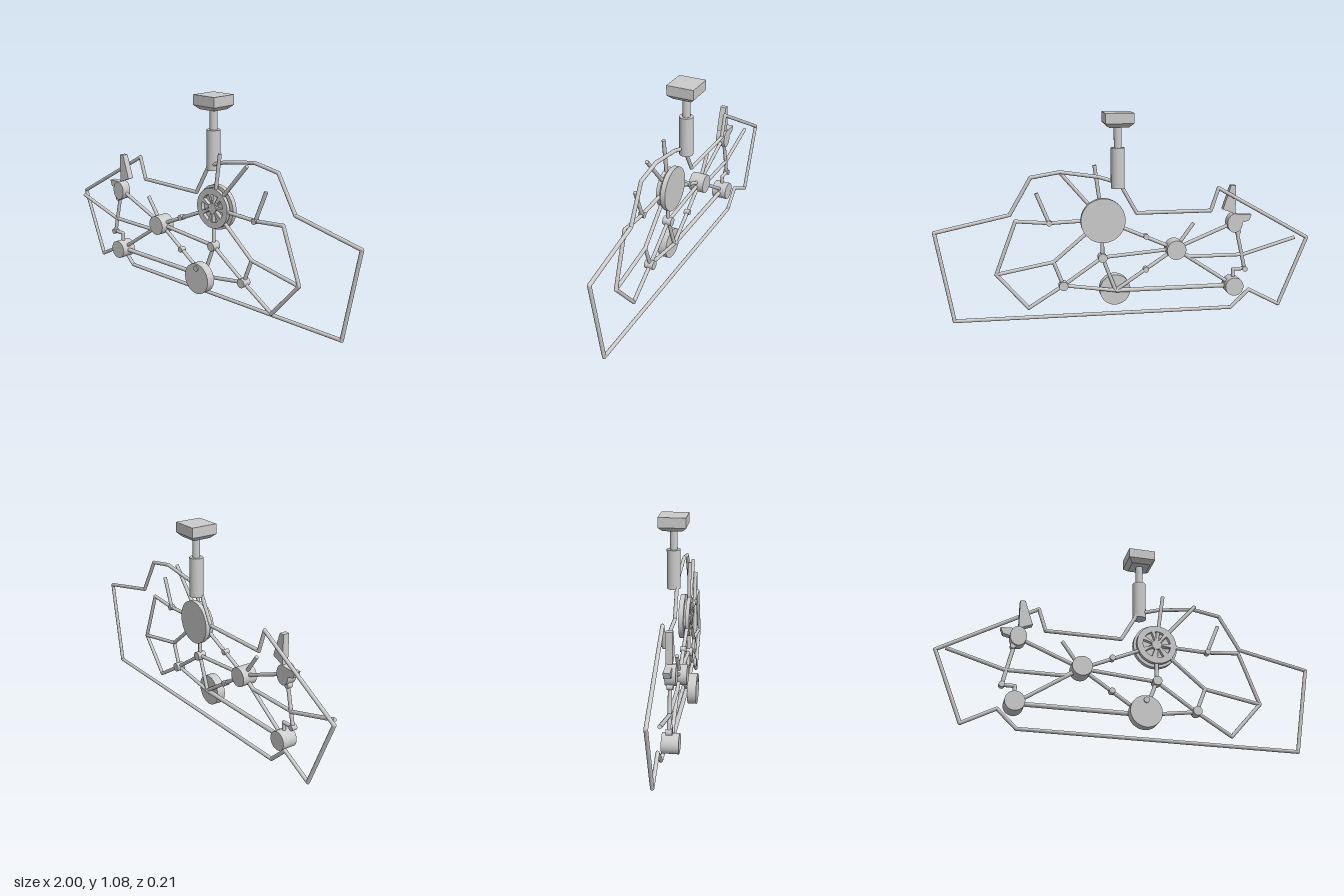
import * as THREE from 'three';

const material = new THREE.MeshStandardMaterial({ color: 0xcccccc });
const ROD_Z = 0.042;
const FRAME_Z = -0.01;

export function createModel() {
  const model = new THREE.Group();

  const add = (name, geometry, parent = model) => {
    const mesh = new THREE.Mesh(geometry, material);
    mesh.name = name;
    parent.add(mesh);
    return mesh;
  };

  // Round bars along a list of [x, y] points, with rounded corners
  const bar = (name, points, z, radius, closed = false) => {
    const group = new THREE.Group();
    group.name = name;
    const pts = points.map(([x, y]) => new THREE.Vector3(x, y, z));
    const count = closed ? pts.length : pts.length - 1;
    for (let i = 0; i < count; i++) {
      const a = pts[i], b = pts[(i + 1) % pts.length];
      const dir = b.clone().sub(a);
      const seg = add(name + 'Segment', new THREE.CylinderGeometry(radius, radius, dir.length(), 12), group);
      seg.position.copy(a).add(b).multiplyScalar(0.5);
      seg.quaternion.setFromUnitVectors(new THREE.Vector3(0, 1, 0), dir.normalize());
      if (closed || i > 0) add(name + 'Corner', new THREE.SphereGeometry(radius, 12, 8), group).position.copy(a);
    }
    model.add(group);
  };

  // Disc facing +z between two depths
  const disc = (name, x, y, radius, z0, z1) => {
    const mesh = add(name, new THREE.CylinderGeometry(radius, radius, z1 - z0, 40));
    mesh.rotation.x = Math.PI / 2;
    mesh.position.set(x, y, (z0 + z1) / 2);
    return mesh;
  };

  // Flat plate from an outline
  const plate = (name, points, z0, z1) => {
    const shape = new THREE.Shape(points.map(([x, y]) => new THREE.Vector2(x, y)));
    add(name, new THREE.ExtrudeGeometry(shape, { depth: z1 - z0, bevelEnabled: false })).position.z = z0;
  };

  // Outer wire outline
  bar('outlineFrame', [
    [-0.99, 0.385], [-0.49, 0.67], [-0.45, 0.55], [-0.05, 0.55], [0.04, 0.71], [0.15, 0.745],
    [0.35, 0.775], [0.5, 0.75], [0.61, 0.56], [0.99, 0.48], [0.905, 0.01], [-0.57, 0.01],
    [-0.67, 0.105], [-0.84, 0.016],
  ], FRAME_Z, 0.01, true);

  // Linkage rods
  const hub = [-0.27, 0.337], wheel = [0.125, 0.51], crank = [0.055, 0.12];
  const lowerLeft = [-0.595, 0.12], upperLeft = [-0.595, 0.47];
  const pivot = [0.125, 0.305], rearPivot = [0.335, 0.16], knee = [0.385, 0.29];
  const elbow = [0.405, 0.5], tip = [0.685, 0.235];
  const rods = [
    [[-0.94, 0.375], [-0.65, 0.29], [-0.35, 0.29], hub],
    [upperLeft, hub], [lowerLeft, hub], [[-0.37, 0.475], hub],
    [hub, wheel], [hub, pivot], [hub, crank],
    [wheel, [0.165, 0.8]], [wheel, [0.345, 0.765]],
    [wheel, elbow, [0.58, 0.515], tip, [0.52, 0.045], rearPivot],
    [elbow, [0.47, 0.66]],
    [wheel, knee, tip], [knee, rearPivot],
    [wheel, pivot, rearPivot], [pivot, crank], [crank, rearPivot],
    [[-0.61, 0.43], [-0.66, 0.21], [-0.595, 0.21], lowerLeft],
  ];
  rods.forEach((points) => bar('linkRod', points, ROD_Z, 0.01));
  bar('driveRod', [lowerLeft, crank], ROD_Z, 0.012);

  // Pivots and small joints
  [pivot, rearPivot].forEach(([x, y]) => disc('pivotPin', x, y, 0.024, 0.018, 0.066));
  [[-0.11, 0.41], [-0.11, 0.23], elbow, [-0.66, 0.21], [-0.617, 0.42]]
    .forEach(([x, y]) => disc('smallJoint', x, y, 0.015, 0.027, 0.058));

  // Hubs
  disc('centerHub', ...hub, 0.052, 0, 0.084);
  disc('lowerLeftHub', ...lowerLeft, 0.05, 0, 0.084);
  const upperHub = disc('upperLeftHub', ...upperLeft, 0.052, 0.018, 0.07);
  upperHub.scale.x = 0.8;

  // Crank disc with its off-centre pin
  disc('crankDisc', ...crank, 0.083, 0.052, 0.1);
  disc('crankPin', 0.055, 0.178, 0.015, 0.09, 0.107);

  // Grooved wheel with a spoked front face
  disc('wheelBack', ...wheel, 0.118, 0, 0.026);
  disc('wheelGroove', ...wheel, 0.09, 0.026, 0.036);
  const face = new THREE.Shape().absarc(0, 0, 0.106, 0, Math.PI * 2, false);
  for (let i = 0; i < 7; i++) {
    const a0 = (i / 7) * Math.PI * 2 + 0.14, a1 = ((i + 1) / 7) * Math.PI * 2 - 0.14;
    const slot = new THREE.Path();
    slot.absarc(0, 0, 0.074, a0, a1, false);
    slot.absarc(0, 0, 0.026, a1, a0, true);
    slot.closePath();
    face.holes.push(slot);
  }
  const spoked = add('wheelSpokedFace', new THREE.ExtrudeGeometry(face, { depth: 0.02, bevelEnabled: false, curveSegments: 32 }));
  spoked.position.set(...wheel, 0.036);

  // Wedges above the upper left hub
  plate('tallWedge', [[-0.595, 0.52], [-0.525, 0.548], [-0.568, 0.677], [-0.595, 0.677]], 0.018, 0.052);
  plate('sideWedge', [[-0.685, 0.515], [-0.672, 0.482], [-0.62, 0.47], [-0.595, 0.518]], 0.018, 0.052);

  // Mounting post with a chamfered cap
  const post = new THREE.Group();
  post.name = 'mountingPost';
  post.position.set(0.053, 0, -0.029);
  model.add(post);
  add('postSleeve', new THREE.CylinderGeometry(0.036, 0.036, 0.21, 32), post).position.y = 0.793;
  add('postShaft', new THREE.CylinderGeometry(0.02, 0.02, 0.13, 24), post).position.y = 0.95;
  add('capBlock', new THREE.BoxGeometry(0.146, 0.053, 0.146), post).position.y = 1.0515;
  const chamfer = new THREE.CylinderGeometry(0.073 * Math.SQRT2, 0.05 * Math.SQRT2, 0.022, 4, 1)
    .rotateY(Math.PI / 4).toNonIndexed();
  chamfer.computeVertexNormals();
  add('capChamfer', chamfer, post).position.y = 1.014;

  return model;
}
